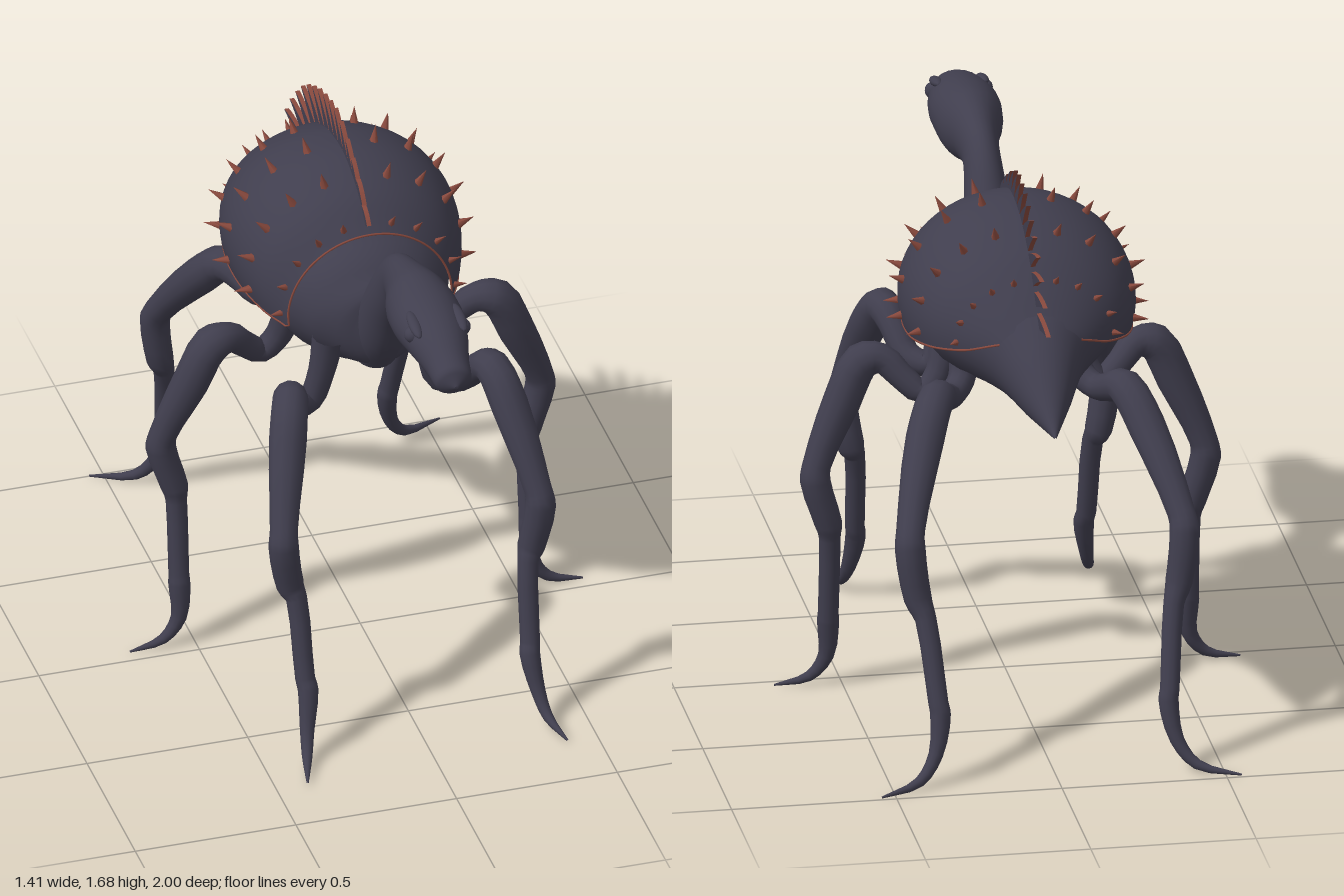
import * as THREE from 'three';

const skin = new THREE.MeshStandardMaterial({ color: 0x403e4e });
skin.name = 'dark slate skin';
const shellMat = new THREE.MeshStandardMaterial({ color: 0x403e4e, side: THREE.DoubleSide });
shellMat.name = 'dark slate shell';
const rust = new THREE.MeshStandardMaterial({ color: 0x8a4a3e });
rust.name = 'rust brown horn';

const V = (x, y, z) => new THREE.Vector3(x, y, z);

function mesh(name, geometry, material) {
  const m = new THREE.Mesh(geometry, material);
  m.name = name;
  return m;
}

function gridGeometry(positions, index) {
  const g = new THREE.BufferGeometry();
  g.setAttribute('position', new THREE.Float32BufferAttribute(positions, 3));
  g.setIndex(index);
  g.computeVertexNormals();
  return g;
}

// Smooth loft through sections [x, y, z, radiusAcross, radiusUp]
function loft(sections, side, sides = 16, steps = 4) {
  const path = new THREE.CatmullRomCurve3(sections.map(s => V(s[0], s[1], s[2])));
  const radii = new THREE.CatmullRomCurve3(sections.map(s => V(s[3], s[4] ?? s[3], 0)));
  const n = (sections.length - 1) * steps;
  const pos = [], idx = [];
  const normal = side.clone();
  for (let i = 0; i <= n; i++) {
    const p = path.getPoint(i / n), r = radii.getPoint(i / n), t = path.getTangent(i / n);
    normal.addScaledVector(t, -normal.dot(t)).normalize();
    const b = t.clone().cross(normal);
    for (let j = 0; j < sides; j++) {
      const a = j / sides * Math.PI * 2;
      const q = p.clone().addScaledVector(normal, Math.cos(a) * Math.max(r.x, 0.002))
        .addScaledVector(b, Math.sin(a) * Math.max(r.y, 0.002));
      pos.push(q.x, q.y, q.z);
      if (i < n) {
        const k = (j + 1) % sides, A = i * sides + j, B = i * sides + k;
        idx.push(A, B, A + sides, B, B + sides, A + sides);
      }
    }
  }
  return gridGeometry(pos, idx);
}

// Shell sections: [z, centreY, halfWidth, height, lower edge Y]
const shellRows = [
  [0.1, 1.2, 0.255, 0.25, 1.17], [0.0, 1.255, 0.315, 0.285, 1.18], [-0.15, 1.28, 0.35, 0.31, 1.19],
  [-0.3, 1.28, 0.345, 0.295, 1.2], [-0.45, 1.27, 0.295, 0.24, 1.225], [-0.55, 1.26, 0.215, 0.165, 1.25],
  [-0.625, 1.25, 0.135, 0.095, 1.29]];
const rowA = new THREE.CatmullRomCurve3(shellRows.map(r => V(r[0], r[1], r[2])));
const rowB = new THREE.CatmullRomCurve3(shellRows.map(r => V(r[3], r[4], 0)));

function shellPoint(u, v) {
  const A = rowA.getPoint(u), B = rowB.getPoint(u);
  const a0 = Math.asin(THREE.MathUtils.clamp((B.y - A.y) / B.x, -1, 1));
  const a = a0 + v * (Math.PI - 2 * a0);
  return V(A.z * Math.cos(a), A.y + B.x * Math.sin(a), A.x);
}

function shellNormal(u, v) {
  const e = 0.01, du = shellPoint(u + e, v).sub(shellPoint(u - e, v));
  return du.cross(shellPoint(u, v + e).sub(shellPoint(u, v - e))).normalize();
}

function shellU(z) {
  let lo = 0, hi = 1;
  for (let i = 0; i < 20; i++) {
    const mid = (lo + hi) / 2;
    if (rowA.getPoint(mid).x > z) lo = mid; else hi = mid;
  }
  return lo;
}

function makeShell() {
  const group = new THREE.Group();
  group.name = 'carapace';
  const nu = 28, nv = 32, pos = [], idx = [];
  for (let i = 0; i <= nu; i++) for (let j = 0; j <= nv; j++) {
    pos.push(...shellPoint(i / nu, j / nv).toArray());
    if (i < nu && j < nv) {
      const a = i * (nv + 1) + j, c = a + nv + 1;
      idx.push(a, c, a + 1, a + 1, c, c + 1);
    }
  }
  group.add(mesh('shell', gridGeometry(pos, idx), shellMat));

  // Thin horn rim along the front arch and lower edges
  const rim = [];
  for (let i = 20; i >= 0; i--) rim.push(shellPoint(i / 20, 0));
  for (let j = 1; j <= 20; j++) rim.push(shellPoint(0, j / 20));
  for (let i = 1; i <= 20; i++) rim.push(shellPoint(i / 20, 1));
  group.add(mesh('shellRim', new THREE.TubeGeometry(new THREE.CatmullRomCurve3(rim), 120, 0.0035, 5), rust));

  // Rows of small horns on both flanks
  [0.075, -0.05, -0.205, -0.375, -0.525].forEach((z, row) => {
    const u = shellU(z), big = row === 0 || row === 4 ? 0.8 : 1;
    for (const v0 of [0.04, 0.14, 0.235, 0.33, 0.42]) for (const v of [v0, 1 - v0]) {
      const dir = shellNormal(u, v).add(V(0, 0.15, -0.25)).normalize();
      const g = new THREE.ConeGeometry(0.0155 * big, 0.06 * big, 6).translate(0, 0.02 * big, 0);
      const horn = mesh('flankHorn', g, rust);
      horn.position.copy(shellPoint(u, v));
      horn.quaternion.setFromUnitVectors(V(0, 1, 0), dir);
      group.add(horn);
    }
  });

  // Crest of swept-back blades with horn edges
  const count = 15;
  for (let i = 0; i < count; i++) {
    const k = i / (count - 1);
    const h = 0.035 + 0.075 * Math.min(1, k * 3) + 0.035 * k * k;
    const s = new THREE.Shape();
    s.moveTo(-0.026, -0.025);
    s.quadraticCurveTo(-0.016, h * 0.6, 0.008, h);
    s.quadraticCurveTo(0.006, h * 0.4, 0.026, -0.025);
    const g = new THREE.ExtrudeGeometry(s, { depth: 0.014, bevelEnabled: false, curveSegments: 5 })
      .translate(0, 0, -0.007);
    const blade = mesh('crestBlade', g, [skin, rust]);
    blade.position.copy(shellPoint(shellU(0.06 - 0.68 * k), 0.5));
    blade.rotation.set(-(0.45 + 1.0 * k * k), Math.PI / 2, 0);
    group.add(blade);
  }
  return group;
}

// Leg sections from hip to toe for the model's left side
const legs = {
  frontLeg: [[.15, 1.16, .17, .05], [.17, 1.03, .16, .04], [.2, .935, .15, .038], [.26, .95, .19, .04],
    [.295, 1.03, .26, .045], [.315, 1.06, .325, .055], [.345, .97, .4, .058], [.395, .74, .525, .043],
    [.4, .69, .54, .046], [.375, .54, .525, .042], [.36, .5, .54, .032], [.35, .25, .595, .03],
    [.345, .215, .61, .031], [.36, .1, .65, .022], [.375, .04, .7, .016], [.405, .015, .805, .003]],
  middleLeg: [[.19, 1.14, -.08, .05], [.22, 1.01, -.11, .04], [.27, .955, -.12, .038], [.33, 1, -.1, .04],
    [.385, 1.05, -.075, .046], [.445, 1.04, -.065, .058], [.505, .92, -.07, .057], [.585, .73, -.095, .043],
    [.59, .68, -.1, .046], [.55, .54, -.095, .042], [.545, .49, -.09, .032], [.545, .25, -.065, .031],
    [.545, .215, -.06, .033], [.55, .1, -.05, .024], [.6, .035, -.045, .016], [.705, .012, -.04, .003]],
  backLeg: [[.16, 1.14, -.24, .05], [.18, 1.05, -.28, .042], [.22, 1.02, -.33, .04], [.25, 1.04, -.39, .044],
    [.285, 1.06, -.45, .055], [.335, .97, -.54, .058], [.41, .75, -.72, .043], [.415, .7, -.745, .046],
    [.395, .55, -.76, .042], [.375, .49, -.785, .032], [.35, .25, -.86, .03], [.345, .215, -.868, .031],
    [.365, .1, -.9, .022], [.42, .03, -.935, .016], [.545, .012, -.995, .003]],
};

export function createModel() {
  const model = new THREE.Group();
  model.name = 'sixLeggedCreature';

  // Torso tapering to a pointed tail
  model.add(mesh('torsoAndTail', loft([
    [0, 1.19, .255, .03, .05], [0, 1.19, .225, .12, .125], [0, 1.2, .16, .2, .17], [0, 1.215, .08, .25, .215],
    [0, 1.235, -.1, .305, .23], [0, 1.265, -.3, .305, .22], [0, 1.25, -.45, .25, .185],
    [0, 1.205, -.6, .14, .14], [0, 1.145, -.74, .075, .08], [0, 1.082, -.885, .003, .003]], V(1, 0, 0), 28), skin));

  // Neck flowing into a long flat head
  model.add(mesh('neckAndHead', loft([
    [0, 1.08, .15, .07, .07], [0, 1.2, .215, .078, .09], [0, 1.35, .3, .07, .08], [0, 1.48, .4, .056, .08],
    [0, 1.51, .5, .07, .092], [0, 1.515, .6, .1, .113], [0, 1.522, .7, .108, .1], [0, 1.515, .82, .09, .082],
    [0, 1.49, .91, .066, .064], [0, 1.473, .97, .056, .05], [0, 1.468, 1, .006, .006]], V(1, 0, 0), 24), skin));

  model.add(makeShell());

  for (const s of [1, -1]) {
    const side = s > 0 ? 'left' : 'right';
    // Eye with a brow ridge
    const eye = mesh(side + 'Eye', new THREE.SphereGeometry(0.026, 16, 12), skin);
    eye.position.set(s * 0.077, 1.548, 0.8);
    const brow = mesh(side + 'Brow', new THREE.SphereGeometry(1, 14, 10), skin);
    brow.scale.set(0.018, 0.014, 0.06);
    brow.position.set(s * 0.07, 1.578, 0.795);
    brow.rotation.x = 0.2;
    model.add(eye, brow);

    for (const [name, sections] of Object.entries(legs)) {
      const mirrored = sections.map(([x, ...rest]) => [s * x, ...rest]);
      model.add(mesh(side + name[0].toUpperCase() + name.slice(1), loft(mirrored, V(0, 0, 1), 12, 3), skin));
    }
  }
  return model;
}
